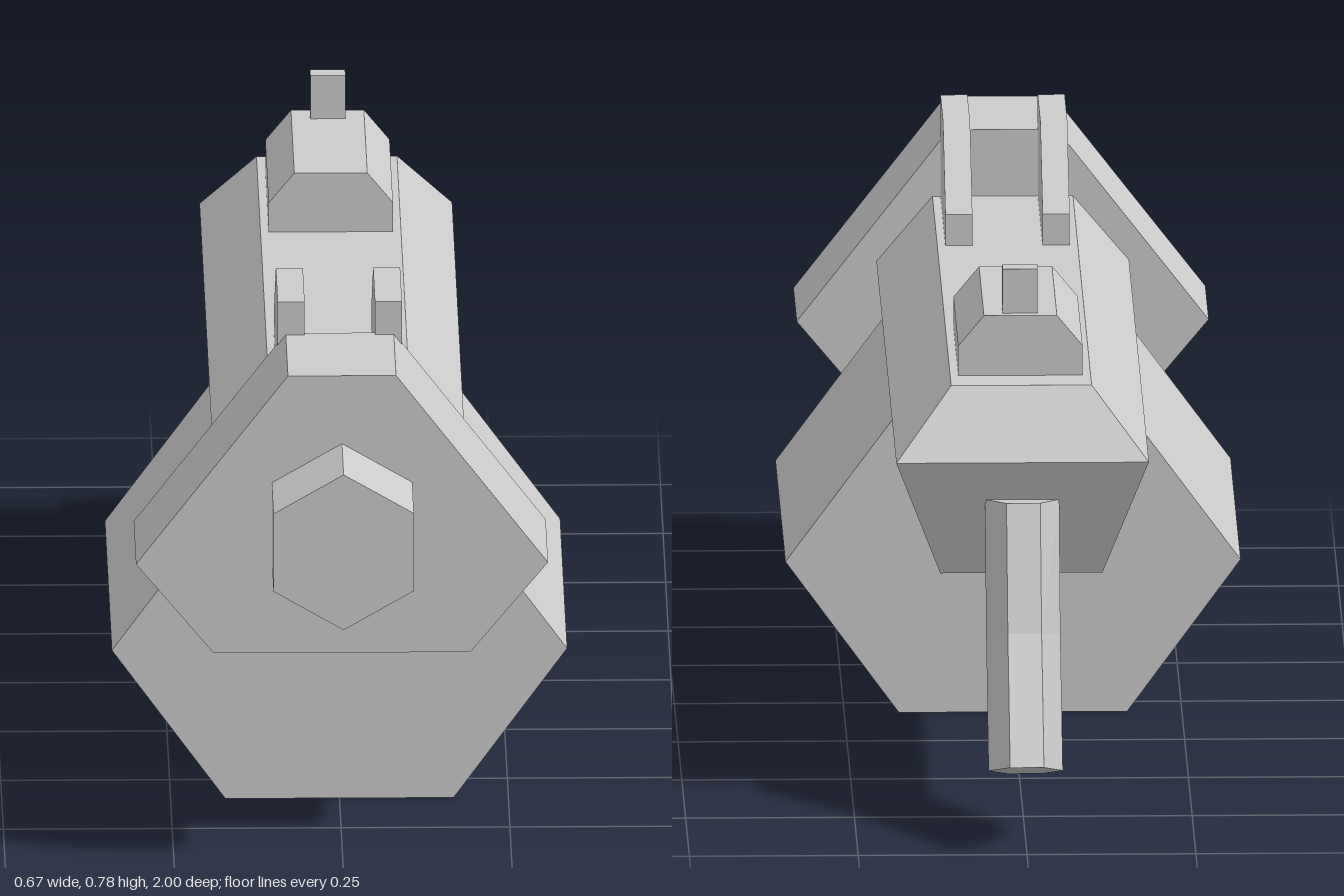
import * as THREE from 'three';
import { ConvexGeometry } from 'three/addons/geometries/ConvexGeometry.js';

const material = new THREE.MeshStandardMaterial({ color: 0xcccccc, flatShading: true });

function add(parent, name, geometry) {
  const mesh = new THREE.Mesh(geometry, material);
  mesh.name = name;
  parent.add(mesh);
  return mesh;
}

function extrude(points, depth) {
  const shape = new THREE.Shape(points.map(([a, b]) => new THREE.Vector2(a, b)));
  return new THREE.ExtrudeGeometry(shape, { depth, bevelEnabled: false });
}

// Right half of an outline (x, y), mirrored and run along z from z0 to z1
function alongZ(half, z0, z1) {
  const mirrored = half.map(([x, y]) => [-x, y]).reverse();
  return extrude([...half, ...mirrored], z1 - z0).translate(0, 0, z0);
}

// Side outline (z, y) given a width in x, centred on x
function acrossX(side, width, x = 0) {
  return extrude(side, width).translate(0, 0, -width / 2).rotateY(-Math.PI / 2).translate(x, 0, 0);
}

// Six-sided grip section between a back and a front point (z, y)
function gripSection([zb, yb], [zf, yf]) {
  const ring = [[0, 0.025], [0.5, 0.055], [1, 0.025]];
  return ring.flatMap(([t, w]) => [-w, w].map((x) =>
    new THREE.Vector3(x, yb + (yf - yb) * t, zb + (zf - zb) * t)));
}

export function createModel() {
  const model = new THREE.Group();
  model.name = 'launcher';

  // Main body with a wedge-shaped rear end
  const bodyPoints = [];
  for (const [x, y, zBack] of [[0.104, 0.625, -0.62], [0.187, 0.527, -0.705], [0.12, 0.34, -0.62]]) {
    for (const s of [-1, 1]) {
      bodyPoints.push(new THREE.Vector3(s * x, y, zBack), new THREE.Vector3(s * x, y, 0.63));
    }
  }
  add(model, 'body', new ConvexGeometry(bodyPoints));

  // Front block, muzzle and large hexagonal drum
  add(model, 'frontBlock', alongZ([[0.19, 0.298], [0.305, 0.436], [0.08, 0.726]], 0.62, 0.84));
  const muzzle = new THREE.CylinderGeometry(0.12, 0.12, 0.18, 6).rotateX(Math.PI / 2);
  if (muzzle) add(model, 'muzzle', muzzle.translate(0, 0.501, 0.91));
  add(model, 'drum', alongZ([[0.169, 0], [0.337, 0.23], [0.169, 0.458]], -0.065, 0.598));

  // Pair of front sight fins
  const fin = [[0.63, 0.615], [0.63, 0.777], [0.455, 0.777], [0.298, 0.672], [0.298, 0.615]].reverse();
  for (const s of [-1, 1]) add(model, s > 0 ? 'leftFin' : 'rightFin', acrossX(fin, 0.04, s * 0.072));

  // Rear sight base and post
  add(model, 'sightBase', alongZ([[0.092, 0.615], [0.092, 0.67], [0.054, 0.716]], -0.555, -0.232));
  add(model, 'sightPost', new THREE.BoxGeometry(0.052, 0.078, 0.03).translate(0, 0.744, -0.525));

  // Bent grip in two segments
  const sections = [
    gripSection([-0.755, 0.477], [-0.585, 0.45]),
    gripSection([-0.845, 0.3], [-0.652, 0.255]),
    gripSection([-1, 0.132], [-0.815, 0.08]),
  ];
  add(model, 'upperGrip', new ConvexGeometry([...sections[0], ...sections[1]]));
  add(model, 'lowerGrip', new ConvexGeometry([...sections[1], ...sections[2]]));

  // Trigger guard
  const guard = [[-0.435, 0.35], [-0.515, 0.215], [-0.71, 0.215], [-0.67, 0.267], [-0.547, 0.267], [-0.495, 0.35]];
  add(model, 'triggerGuard', acrossX(guard.reverse(), 0.05));

  return model;
}
